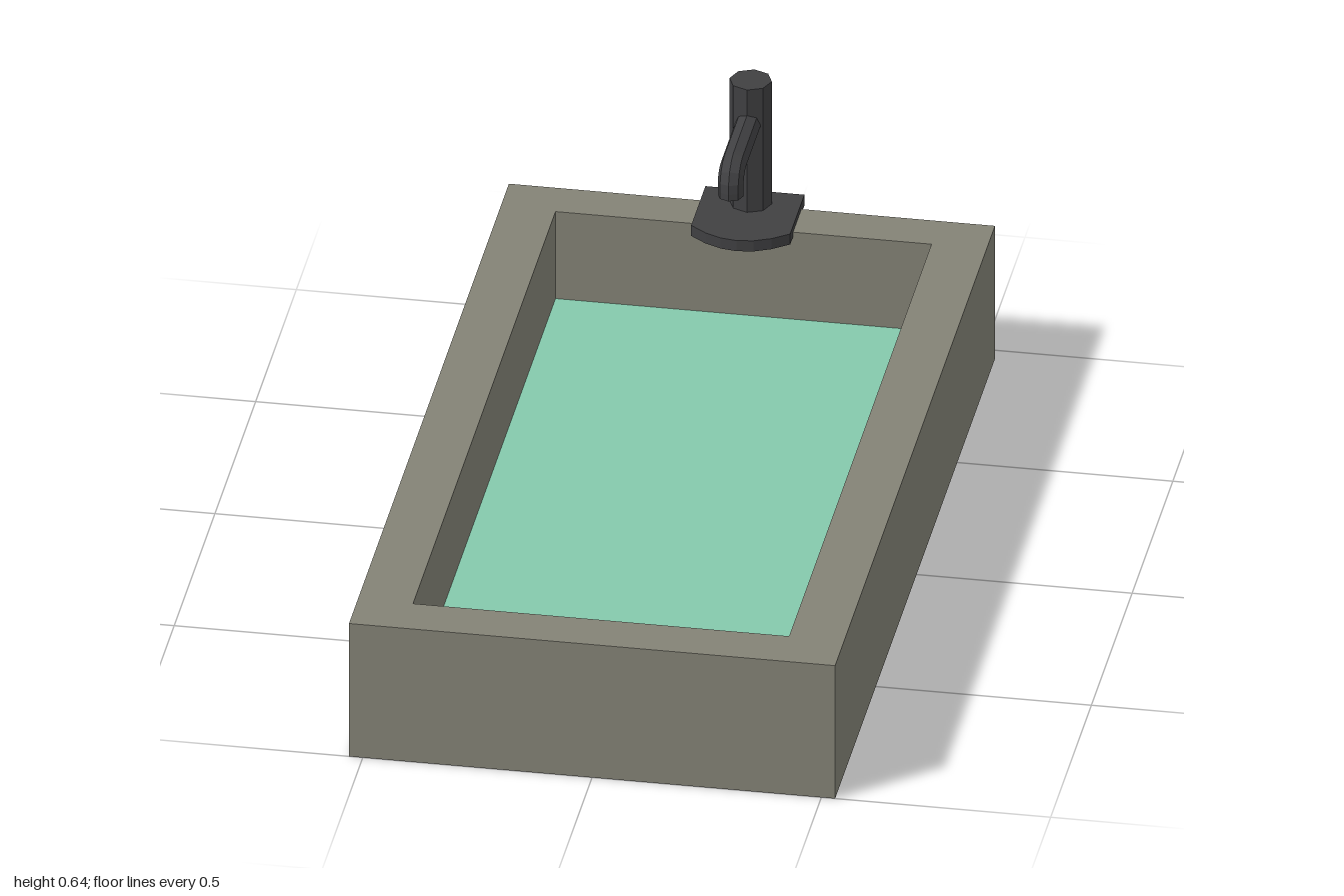
import * as THREE from 'three';

const stone = new THREE.MeshStandardMaterial({ color: 0x838276, side: THREE.DoubleSide });
stone.name = 'stone';
const water = new THREE.MeshStandardMaterial({ color: 0x84c8ac, side: THREE.DoubleSide });
water.name = 'water';
const metal = new THREE.MeshStandardMaterial({ color: 0x404042, flatShading: true });
metal.name = 'darkMetal';

const TOP = 0.327;
const outer = { x: 0.53, z0: -0.963, z1: 1 };
const inner = { x: 0.41, z0: -0.86, z1: 0.89 };

function part(name, geometry, material, x = 0, y = 0, z = 0) {
  const mesh = new THREE.Mesh(geometry, material);
  mesh.name = name;
  mesh.position.set(x, y, z);
  return mesh;
}

// Thin-walled box with chosen faces left out (order: +x -x +y -y +z -z)
function openBox(r, y0, y1, omitted) {
  const g = new THREE.BoxGeometry(2 * r.x, y1 - y0, r.z1 - r.z0);
  const index = Array.from(g.index.array);
  g.setIndex(index.filter((_, i) => !omitted.includes(Math.floor(i / 6))));
  g.clearGroups();
  return g.translate(0, (y0 + y1) / 2, (r.z0 + r.z1) / 2);
}

// Rectangle outline; shape y becomes -z once laid flat
function outline(path, r) {
  path.moveTo(-r.x, -r.z1);
  path.lineTo(r.x, -r.z1);
  path.lineTo(r.x, -r.z0);
  path.lineTo(-r.x, -r.z0);
  path.closePath();
  return path;
}

export function createModel() {
  const model = new THREE.Group();
  model.name = 'waterTrough';

  // Trough: outer walls open underneath, flat rim, and a well with a floor
  const trough = new THREE.Group();
  trough.name = 'trough';
  const rimShape = outline(new THREE.Shape(), outer);
  rimShape.holes.push(outline(new THREE.Path(), inner));
  trough.add(
    part('outerWalls', openBox(outer, 0, TOP, [2, 3]), stone),
    part('well', openBox(inner, 0.025, TOP, [2]), stone),
    part('rim', new THREE.ShapeGeometry(rimShape).rotateX(-Math.PI / 2), stone, 0, TOP, 0)
  );
  model.add(trough);

  // Water surface
  const surface = outline(new THREE.Shape(), inner);
  model.add(part('waterSurface', new THREE.ShapeGeometry(surface).rotateX(-Math.PI / 2), water, 0, 0.113, 0));

  // Tap base plate with a bowed front edge
  const tap = new THREE.Group();
  tap.name = 'tap';
  const plate = new THREE.Shape();
  plate.moveTo(-0.108, 1);
  plate.lineTo(-0.108, 0.825);
  plate.quadraticCurveTo(0, 0.727, 0.108, 0.825);
  plate.lineTo(0.108, 1);
  plate.closePath();
  const plateGeometry = new THREE.ExtrudeGeometry(plate, { depth: 0.026, bevelEnabled: false, curveSegments: 6 });
  tap.add(part('basePlate', plateGeometry.rotateX(-Math.PI / 2), metal, 0, 0.316, 0));

  // Upright column
  tap.add(part('column', new THREE.CylinderGeometry(0.046, 0.046, 0.303, 8), metal, 0, 0.4915, -0.948));

  // Spout: straight run, bend, then a short drop to the outlet
  const v = (y, z) => new THREE.Vector3(0, y, z);
  const path = new THREE.CurvePath();
  path.add(new THREE.LineCurve3(v(0.552, -0.94), v(0.552, -0.745)));
  path.add(new THREE.QuadraticBezierCurve3(v(0.552, -0.745), v(0.552, -0.701), v(0.515, -0.701)));
  path.add(new THREE.LineCurve3(v(0.515, -0.701), v(0.495, -0.701)));
  tap.add(
    part('spout', new THREE.TubeGeometry(path, 18, 0.028, 8, false), metal),
    part('spoutOutlet', new THREE.CircleGeometry(0.028, 8).rotateX(Math.PI / 2), metal, 0, 0.495, -0.701)
  );
  model.add(tap);

  return model;
}
